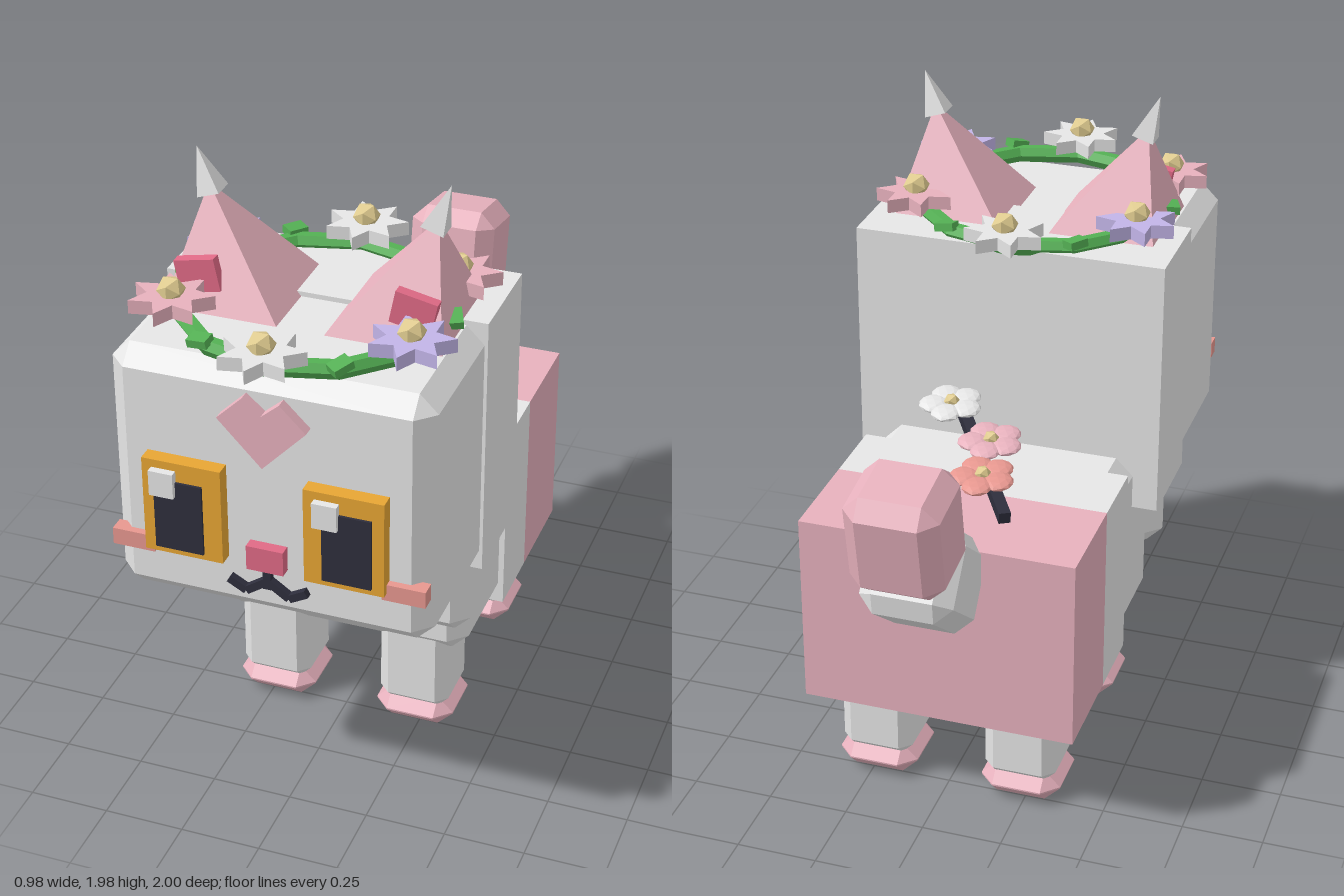
import * as THREE from 'three';
import { ConvexGeometry } from 'three/addons/geometries/ConvexGeometry.js';

const mat = (name, color, flat = true) => {
  const m = new THREE.MeshStandardMaterial({ color, flatShading: flat });
  m.name = name;
  return m;
};

export function createModel() {
  const white = mat('white', 0xe6e6e6), pink = mat('pink', 0xe8b2be);
  const rose = mat('rose', 0xe06a86), gold = mat('gold', 0xe8a634);
  const dark = mat('dark', 0x2e2e3c), salmon = mat('salmon', 0xee9c94);
  const lilac = mat('lilac', 0xc6b8ec), green = mat('green', 0x54b054);
  const tan = mat('tan', 0xe0cc90);
  const model = new THREE.Group();
  model.name = 'flowerCrownCat';

  const add = (name, geo, material, x = 0, y = 0, z = 0, parent = model) => {
    const m = new THREE.Mesh(geo, material);
    m.name = name;
    m.position.set(x, y, z);
    parent.add(m);
    return m;
  };
  // plain box given by its limits
  const box = (name, material, x0, x1, y0, y1, z0, z1) =>
    add(name, new THREE.BoxGeometry(x1 - x0, y1 - y0, z1 - z0), material,
      (x0 + x1) / 2, (y0 + y1) / 2, (z0 + z1) / 2);
  // box with all edges and corners cut off
  const chamferGeo = (w, h, d, c) => {
    const pts = [];
    for (const sx of [-1, 1]) for (const sy of [-1, 1]) for (const sz of [-1, 1]) {
      const x = w / 2, y = h / 2, z = d / 2;
      pts.push(new THREE.Vector3(sx * x, sy * (y - c), sz * (z - c)));
      pts.push(new THREE.Vector3(sx * (x - c), sy * y, sz * (z - c)));
      pts.push(new THREE.Vector3(sx * (x - c), sy * (y - c), sz * z));
    }
    return new ConvexGeometry(pts);
  };
  const chamfer = (name, material, x0, x1, y0, y1, z0, z1, c) =>
    add(name, chamferGeo(x1 - x0, y1 - y0, z1 - z0, c), material,
      (x0 + x1) / 2, (y0 + y1) / 2, (z0 + z1) / 2);

  // head and body
  chamfer('head', white, -0.48, 0.48, 0.75, 1.555, 0.15, 0.86, 0.055);
  box('headBack', white, -0.49, 0.49, 0.74, 1.57, 0.085, 0.405);
  chamfer('chestRuff', white, -0.445, 0.445, 0.47, 0.95, 0.295, 0.41, 0.05);
  chamfer('frontBody', white, -0.41, 0.41, 0.32, 0.905, -0.2, 0.315, 0.055);
  box('midBody', white, -0.428, 0.428, 0.305, 0.922, -0.275, -0.04);
  box('rump', pink, -0.428, 0.428, 0.305, 0.922, -0.605, -0.275);

  // legs and paws
  for (const s of [-1, 1]) for (const z of [0.175, -0.42]) {
    const x = s * 0.233;
    chamfer('leg', white, x - 0.113, x + 0.113, 0.075, 0.4, z - 0.115, z + 0.115, 0.035);
    chamfer('paw', pink, x - 0.127, x + 0.127, 0, 0.105, z - 0.127, z + 0.127, 0.05);
  }

  // tail
  add('tailBase', chamferGeo(0.285, 0.33, 0.285, 0.05), white, 0, 0.874, -0.702).rotation.x = -0.9;
  add('tailTip', chamferGeo(0.285, 0.335, 0.275, 0.05), pink, 0, 1.11, -0.847).rotation.x = -0.17;

  // eyes
  for (const s of [-1, 1]) {
    const e = s * 0.242, p = s * 0.252, h = s < 0 ? -0.295 : 0.193;
    box('eye', gold, e - 0.119, e + 0.119, 0.94, 1.245, 0.85, 0.905);
    box('pupil', dark, p - 0.073, p + 0.073, 0.96, 1.185, 0.9, 0.913);
    box('eyeHighlight', white, h - 0.037, h + 0.037, 1.14, 1.22, 0.9, 0.928);
    const c = s * 0.41;
    box('cheek', salmon, c - 0.065, c + 0.065, 0.915, 0.968, 0.835, 0.883);
  }

  // nose and mouth
  box('nose', rose, -0.056, 0.056, 0.932, 1.01, 0.85, 0.895);
  box('mouthStem', dark, -0.012, 0.012, 0.865, 0.935, 0.85, 0.882);
  for (const s of [-1, 1]) {
    const curl = new THREE.BoxGeometry(0.075, 0.024, 0.032);
    add('mouthCurl', curl, dark, s * 0.034, 0.867, 0.866).rotation.z = -s * 0.6;
    add('mouthEnd', new THREE.BoxGeometry(0.06, 0.024, 0.032), dark,
      s * 0.092, 0.86, 0.866).rotation.z = s * 0.5;
  }

  // forehead heart
  const heart = new THREE.Shape([[0, 1.278], [0.132, 1.416], [0.055, 1.492], [0, 1.445],
    [-0.055, 1.492], [-0.132, 1.416]].map(([x, y]) => new THREE.Vector2(x, y)));
  add('foreheadHeart', new THREE.ExtrudeGeometry(heart, { depth: 0.045, bevelEnabled: false }),
    pink, 0, 0, 0.85);

  // ears: leaning pyramids with tufted tips
  for (const s of [-1, 1]) {
    const v = (x, y, z) => new THREE.Vector3(s * x, y, z);
    add('ear', new ConvexGeometry([v(0.063, 1.545, 0.215), v(0.42, 1.545, 0.215),
      v(0.42, 1.545, 0.603), v(0.063, 1.545, 0.603), v(0.343, 1.875, 0.412)]), pink);
    add('earTip', new THREE.ConeGeometry(0.05, 0.14, 4).rotateY(Math.PI / 4), white,
      s * 0.355, 1.916, 0.412).rotation.z = -s * 0.32;
    add('innerEar', new THREE.BoxGeometry(0.125, 0.1, 0.034), rose,
      s * 0.322, 1.655, 0.55).rotation.z = -s * 0.2;
  }

  // crown: vine ring, leaves and star flowers
  const crown = new THREE.Group();
  crown.name = 'flowerCrown';
  crown.position.set(0, 0, 0.465);
  model.add(crown);
  add('vine', new THREE.TorusGeometry(0.385, 0.028, 6, 12).rotateX(Math.PI / 2), green,
    0, 1.58, 0, crown);
  const star = new THREE.Shape();
  for (let i = 0; i < 14; i++) {
    const a = i * Math.PI / 7, r = i % 2 ? 0.07 : 0.125;
    star[i ? 'lineTo' : 'moveTo'](r * Math.sin(a), r * Math.cos(a));
  }
  const starGeo = new THREE.ExtrudeGeometry(star, { depth: 0.042, bevelEnabled: false })
    .rotateX(Math.PI / 2);
  const starColours = [white, lilac, pink, white, lilac, pink];
  for (let i = 0; i < 6; i++) {
    const a = i * Math.PI / 3, x = 0.41 * Math.sin(a), z = 0.41 * Math.cos(a);
    add('starFlower', starGeo, starColours[i], x, 1.646, z, crown);
    add('starFlowerCentre', new THREE.IcosahedronGeometry(0.042), tan, x, 1.66, z, crown);
    const b = a + Math.PI / 6;
    add('leaf', new THREE.BoxGeometry(0.062, 0.025, 0.045), green,
      0.41 * Math.sin(b), 1.605, 0.41 * Math.cos(b), crown).rotation.set(0.15, b + 0.4, 0.15);
  }

  // twig with three blossoms above the back
  const from = new THREE.Vector3(-0.168, 0.96, -0.46), to = new THREE.Vector3(0.18, 1.026, 0.12);
  const twig = add('twig', new THREE.BoxGeometry(0.036, 0.036, from.distanceTo(to)), dark);
  twig.position.copy(from).lerp(to, 0.5);
  twig.lookAt(to);
  const petalGeo = new THREE.IcosahedronGeometry(0.048, 1).scale(1, 0.32, 1);
  for (const [m, x, y, z] of [[white, 0.155, 1.058, 0.0], [pink, -0.03, 1.045, -0.17],
    [salmon, -0.062, 1.023, -0.345]]) {
    const blossom = new THREE.Group();
    blossom.name = 'blossom';
    blossom.position.set(x, y, z);
    blossom.rotation.x = -0.1;
    model.add(blossom);
    for (let i = 0; i < 5; i++) {
      const a = i * Math.PI * 0.4;
      add('petal', petalGeo, m, 0.055 * Math.sin(a), 0, -0.055 * Math.cos(a), blossom);
    }
    add('blossomCentre', new THREE.IcosahedronGeometry(0.026), tan, 0, 0.008, 0, blossom);
  }
  return model;
}
